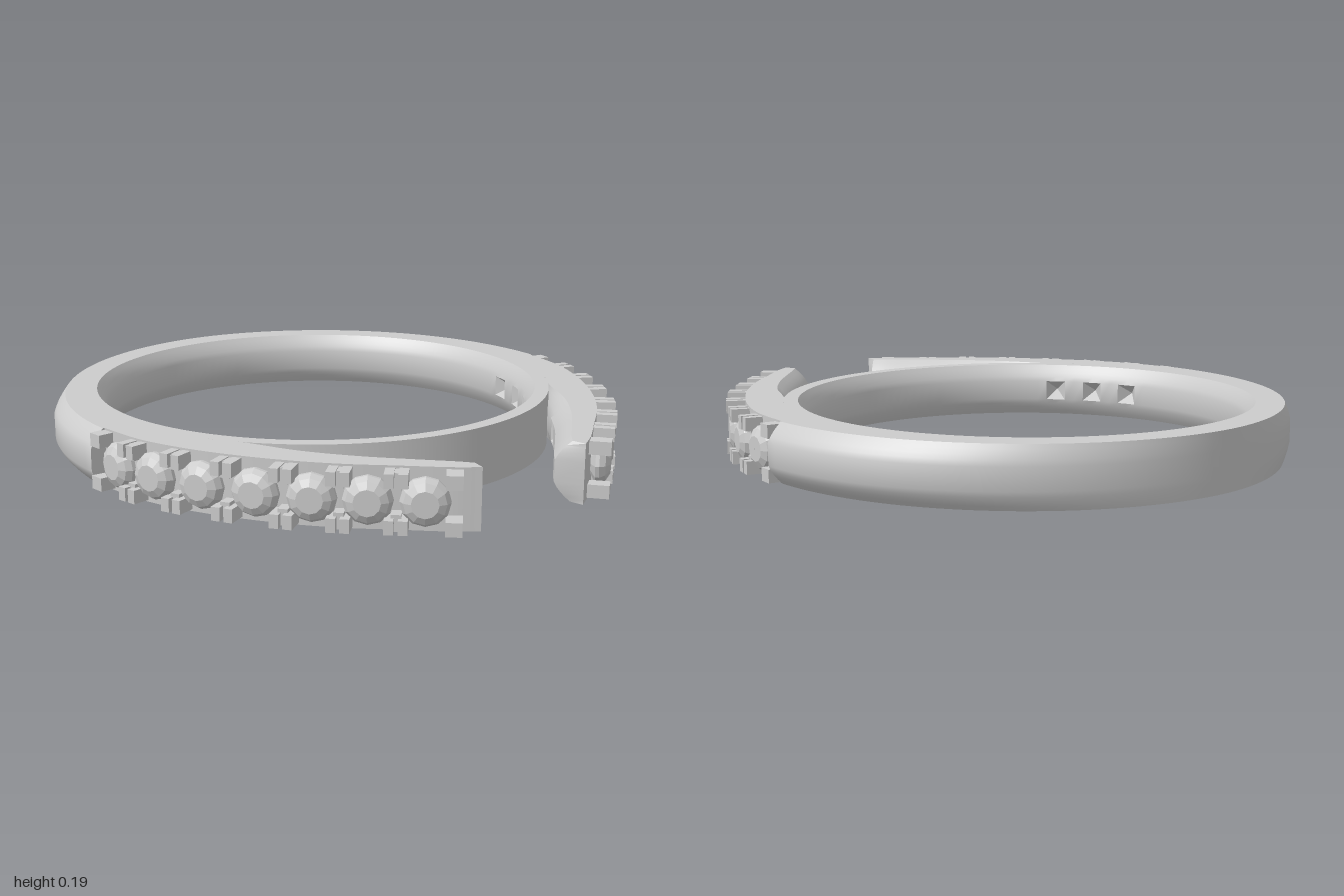
import * as THREE from 'three';
import { toCreasedNormals } from 'three/addons/utils/BufferGeometryUtils.js';

const H = 0.19; // ring height
const ROWS = [-1, -0.85, -0.7, -0.55, -0.37, 0.37, 0.55, 0.7, 0.85, 1];
const MID = 4; // row of the square windows
const metal = new THREE.MeshStandardMaterial({ color: 0xcccccc });
const gem = new THREE.MeshStandardMaterial({ color: 0xcccccc, flatShading: true });

const curve = (pts) => new THREE.CatmullRomCurve3(pts.map(([x, z]) => new THREE.Vector3(x, 0, z)));

// Sweeps a flat-topped band whose outer and inner walls may bulge.
// windows: [first, last] segment pairs sunk as pyramids into the inner wall.
function band({ outer, inner, bulgeOut, bulgeIn, segs, windows = [], closed = false }) {
  const pos = [];
  const tri = (...p) => p.forEach((q) => pos.push(q.x, q.y, q.z));
  const quad = (a, b, c, d) => { tri(a, b, c); tri(a, c, d); };

  const wall = (path, bulge, side) => Array.from({ length: segs + 1 }, (_, i) => {
    const u = i / segs, p = path(u);
    const t = path(Math.min(u + 0.002, 1)).sub(path(Math.max(u - 0.002, 0))).normalize();
    const n = new THREE.Vector3(t.z, 0, -t.x);
    return ROWS.map((v) => {
      const q = p.clone().addScaledVector(n, side * bulge(u) * (1 - v * v) / 0.863);
      q.y = H / 2 * (1 + v);
      return q;
    });
  });
  const o = wall(outer, bulgeOut, 1), n = wall(inner, bulgeIn, -1);
  const top = ROWS.length - 1;

  for (let i = 0; i < segs; i++) {
    const inWindow = windows.some(([a, b]) => i >= a && i < b);
    for (let j = 0; j < top; j++) {
      quad(o[i][j], o[i][j + 1], o[i + 1][j + 1], o[i + 1][j]);
      if (!(inWindow && j === MID)) quad(n[i][j], n[i + 1][j], n[i + 1][j + 1], n[i][j + 1]);
    }
    quad(n[i][top], n[i + 1][top], o[i + 1][top], o[i][top]);
    quad(n[i][0], o[i][0], o[i + 1][0], n[i + 1][0]);
  }
  // pyramid recesses
  for (const [a, b] of windows) {
    const lo = n[a][MID].clone().add(n[b][MID + 1]).multiplyScalar(0.5);
    const dir = n[b][MID].clone().sub(n[a][MID]).normalize();
    const apex = lo.add(new THREE.Vector3(dir.z, 0, -dir.x).multiplyScalar(0.05));
    for (let i = a; i < b; i++) {
      tri(n[i][MID], n[i + 1][MID], apex);
      tri(n[i + 1][MID + 1], n[i][MID + 1], apex);
    }
    tri(n[a][MID + 1], n[a][MID], apex);
    tri(n[b][MID], n[b][MID + 1], apex);
  }
  // end caps
  if (!closed) for (let j = 0; j < top; j++) {
    quad(n[0][j], n[0][j + 1], o[0][j + 1], o[0][j]);
    quad(n[segs][j], o[segs][j], o[segs][j + 1], n[segs][j + 1]);
  }
  const g = new THREE.BufferGeometry();
  g.setAttribute('position', new THREE.Float32BufferAttribute(pos, 3));
  return toCreasedNormals(g, 0.5);
}

const arc = (cz, rx, rz, from, to) => (u) => {
  const a = from + (to - from) * u;
  return new THREE.Vector3(rx * Math.cos(a), 0, cz + rz * Math.sin(a));
};

function mesh(name, geometry, material = metal) {
  const m = new THREE.Mesh(geometry, material);
  m.name = name;
  return m;
}

// Cut stone pointing along +x: table, crown, girdle and pavilion
function stoneGeometry() {
  const profile = [[0.001, -0.05], [0.073, -0.008], [0.073, 0.004], [0.062, 0.022], [0.04, 0.034], [0.001, 0.034]];
  return new THREE.LatheGeometry(profile.map(([r, y]) => new THREE.Vector2(r, y)), 12).rotateZ(-Math.PI / 2);
}

function createArm() {
  const arm = new THREE.Group();
  const outer = curve([[0.885, -0.02], [0.852, 0.17], [0.792, 0.32], [0.712, 0.46], [0.61, 0.6],
    [0.5, 0.72], [0.38, 0.825], [0.265, 0.925], [0.2, 0.97]]);
  const inner = curve([[0.77, -0.02], [0.74, 0.14], [0.69, 0.27], [0.617, 0.375], [0.53, 0.54],
    [0.42, 0.685], [0.31, 0.8], [0.225, 0.885], [0.19, 0.925]]);
  arm.add(mesh('armBody', band({
    outer: (u) => outer.getPoint(u),
    inner: (u) => inner.getPoint(u),
    bulgeOut: () => 0,
    bulgeIn: (u) => 0.05 * THREE.MathUtils.smoothstep(u, 0.3, 0.55),
    segs: 48,
    windows: [4, 5, 6].map((k) => [k * 6 + 2, k * 6 + 4]),
  })));

  // setting line: prongs at eight stations, a stone between each pair
  const line = curve([[0.902, 0.02], [0.88, 0.172], [0.822, 0.33], [0.742, 0.48],
    [0.64, 0.625], [0.53, 0.742], [0.41, 0.85], [0.287, 0.955]]);
  const place = (name, u) => {
    const g = new THREE.Group(), t = line.getTangent(u);
    g.name = name;
    g.position.copy(line.getPoint(u)).setY(H / 2);
    g.rotation.y = Math.atan2(t.x, t.z);
    arm.add(g);
    return g;
  };
  const stone = stoneGeometry();
  for (let k = 0; k < 7; k++) {
    const g = place('stone', (k + 0.5) / 7);
    const s = mesh('cutStone', stone, gem);
    s.position.x = -0.012;
    g.add(s);
  }
  for (let k = 0; k < 8; k++) {
    const g = place('prongs', k / 7), end = k === 0 || k === 7;
    for (const y of [-0.068, 0.068]) {
      for (const z of end ? [0] : [-0.02, 0.02]) {
        const p = mesh('prong', new THREE.BoxGeometry(0.085, 0.042, end ? 0.048 : 0.028));
        p.position.set(-0.015, y, z);
        g.add(p);
      }
      if (!end) {
        const web = mesh('prongWeb', new THREE.BoxGeometry(0.06, 0.05, 0.03));
        web.position.set(-0.025, y * 0.9, 0);
        g.add(web);
      }
    }
  }
  return arm;
}

export function createModel() {
  const ring = new THREE.Group();
  ring.name = 'ring';

  // inner hoop with rounded bore and windows behind the first stones
  const w = [2, 4, 6].flatMap((i) => [[i * 2, i * 2 + 2], [62 - i * 2, 64 - i * 2]]);
  ring.add(mesh('innerHoop', band({
    outer: arc(-0.145, 0.805, 0.805, 0, Math.PI * 2),
    inner: arc(-0.145, 0.757, 0.757, 0, Math.PI * 2),
    bulgeOut: () => 0,
    bulgeIn: () => 0.032,
    segs: 128,
    windows: w,
    closed: true,
  })));

  // rear shank, flat at the back and domed toward the sides
  const from = Math.PI - 0.07, to = Math.PI * 2 + 0.07;
  const dome = (u) => 0.045 * Math.pow(Math.abs(Math.cos(from + (to - from) * u)), 1.5);
  ring.add(mesh('rearShank', band({
    outer: (u) => arc(-0.065, 0.935 - dome(u), 0.935 - dome(u), from, to)(u),
    inner: arc(-0.065, 0.79, 0.87, from, to),
    bulgeOut: dome,
    bulgeIn: () => 0,
    segs: 80,
  })));

  // stone-set arms; a half turn about z mirrors the symmetric arm
  const left = createArm(), right = createArm();
  left.name = 'leftArm';
  right.name = 'rightArm';
  right.rotation.z = Math.PI;
  right.position.y = H;
  ring.add(left, right);
  return ring;
}
